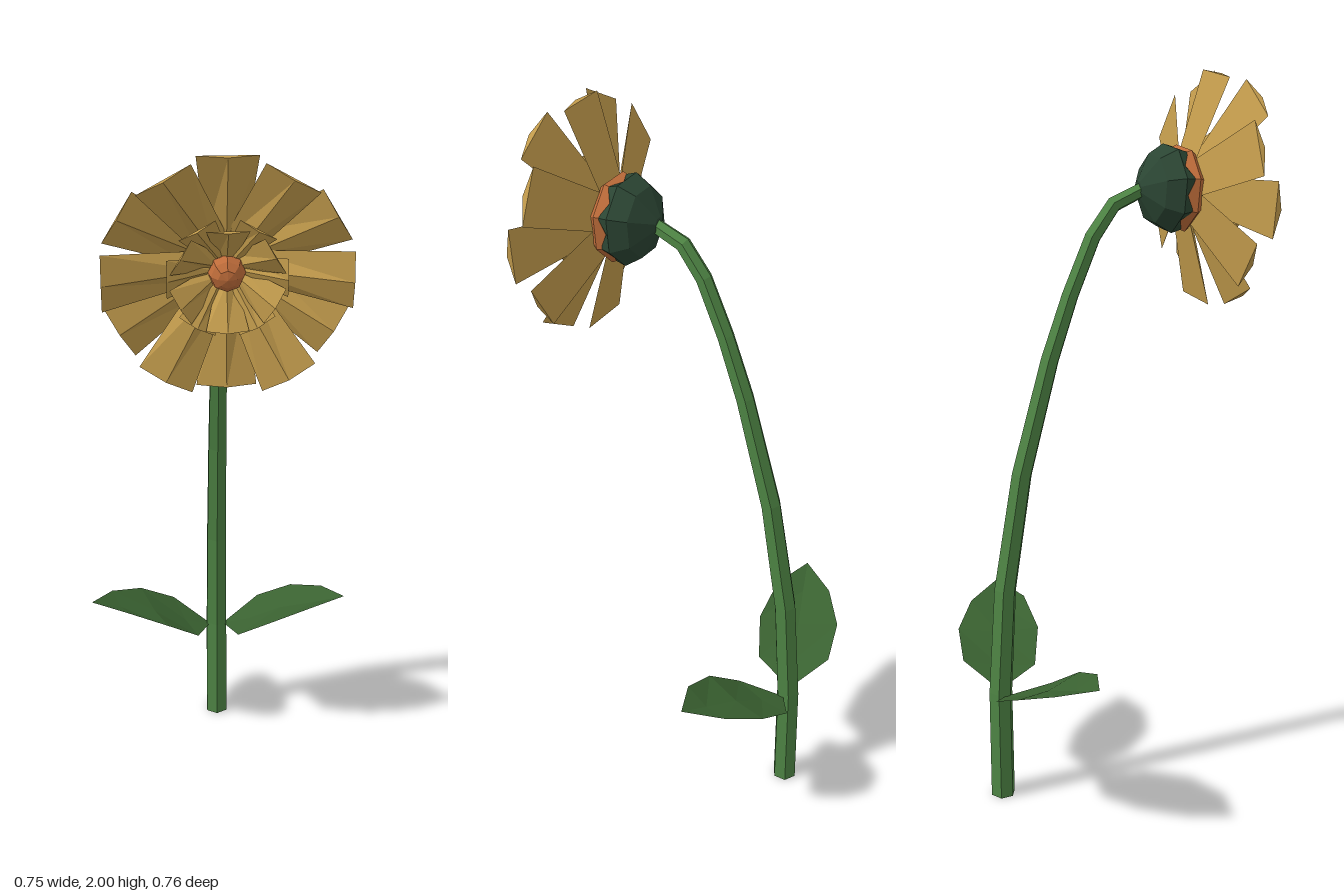
import * as THREE from 'three';

const mat = (name, color, extra = {}) =>
  Object.assign(new THREE.MeshStandardMaterial({ color, flatShading: true, ...extra }), { name });

// Skin over a list of equal-sized rings, each counter-clockwise about the travel direction
function loft(rings, capStart = true, capEnd = true) {
  const pos = [];
  const tri = (a, b, c) => pos.push(...a, ...b, ...c);
  const n = rings[0].length;
  for (let i = 0; i + 1 < rings.length; i++) {
    for (let j = 0; j < n; j++) {
      const k = (j + 1) % n, a = rings[i], b = rings[i + 1];
      tri(a[j], a[k], b[k]);
      tri(a[j], b[k], b[j]);
    }
  }
  const last = rings[rings.length - 1];
  for (let j = 1; j + 1 < n; j++) {
    if (capStart) tri(rings[0][0], rings[0][j + 1], rings[0][j]);
    if (capEnd) tri(last[0], last[j], last[j + 1]);
  }
  const geo = new THREE.BufferGeometry();
  geo.setAttribute('position', new THREE.Float32BufferAttribute(pos, 3));
  geo.computeVertexNormals();
  return geo;
}

function mesh(name, geo, material) {
  const m = new THREE.Mesh(geo, material);
  m.name = name;
  return m;
}

// Six-sided stem bending in the yz plane; path entries are [y, z, radius]
function stemGeometry() {
  const path = [
    [0, -0.315, 0.035], [0.33, -0.315, 0.034], [0.64, -0.295, 0.032], [0.97, -0.24, 0.029],
    [1.28, -0.155, 0.026], [1.45, -0.095, 0.024], [1.6, -0.03, 0.023],
    [1.68, 0.03, 0.022], [1.713, 0.115, 0.02],
  ];
  return loft(path.map(([y, z, r], i) => {
    const p = path[Math.max(i - 1, 0)], q = path[Math.min(i + 1, path.length - 1)];
    let ty = q[0] - p[0], tz = q[1] - p[1];
    if (i === 0) { ty = 1; tz = 0; }
    const len = Math.hypot(ty, tz);
    return Array.from({ length: 6 }, (_, j) => {
      const a = j * Math.PI / 3, c = r * Math.cos(a) / len;
      return [r * Math.sin(a), y - c * tz, z + c * ty];
    });
  }));
}

// Folded leaf: strips between back edge, midrib and front edge
function leafGeometry(side) {
  const base = [0.02, 0.32, -0.31], tip = [0.375, 0.487, -0.18];
  const back = [base, [0.13, 0.375, -0.378], [0.23, 0.425, -0.355], [0.317, 0.462, -0.283], tip];
  const rib = [base, [0.095, 0.352, -0.28], [0.19, 0.41, -0.248], [0.29, 0.45, -0.21], tip];
  const front = [base, [0.06, 0.355, -0.187], [0.15, 0.423, -0.14], [0.265, 0.472, -0.137], tip];
  const pos = [];
  const add = (...pts) => {
    if (side < 0) pts.reverse();
    pts.forEach(([x, y, z]) => pos.push(side * x, y, z));
  };
  for (const [l, r] of [[back, rib], [rib, front]]) {
    for (let i = 0; i < 4; i++) {
      if (i > 0) add(l[i], r[i], l[i + 1]);
      if (i < 3) add(r[i], r[i + 1], l[i + 1]);
    }
  }
  const geo = new THREE.BufferGeometry();
  geo.setAttribute('position', new THREE.Float32BufferAttribute(pos, 3));
  geo.computeVertexNormals();
  return geo;
}

// Petal with a flat back and a raised front ridge; sections are [radius, halfWidth, z, ridge]
function petalGeometry(sections) {
  return loft(sections.map(([r, w, z, h]) => [[0, r, z + h], [w, r, z], [-w, r, z]]));
}

// Eight-sided ring about z; toothDepth pulls the points between ribs back
function octagon(r, z, toothDepth = 0) {
  return Array.from({ length: 16 }, (_, j) => {
    const a = (j + 1) * Math.PI / 8, mid = j % 2 === 1;
    const rr = mid ? r * Math.cos(Math.PI / 8) : r;
    return [rr * Math.cos(a), rr * Math.sin(a), z - (mid ? toothDepth : 0)];
  });
}

export function createModel() {
  const stemGreen = mat('stem green', 0x4f8645);
  const leafGreen = mat('leaf green', 0x3a6231, { side: THREE.DoubleSide });
  const sepalGreen = mat('sepal green', 0x2b4533);
  const orange = mat('centre orange', 0xbe6c3a);
  const gold = mat('petal gold', 0xc29b4c);

  const model = new THREE.Group();
  model.name = 'flower';
  model.add(mesh('stem', stemGeometry(), stemGreen));
  model.add(mesh('leftLeaf', leafGeometry(1), leafGreen));
  model.add(mesh('rightLeaf', leafGeometry(-1), leafGreen));

  // Flower head, nodding slightly forward
  const head = new THREE.Group();
  head.name = 'flowerHead';
  head.position.y = 1.724;
  head.rotation.x = 0.08;
  model.add(head);

  head.add(mesh('sepalCup', loft([
    octagon(0.02, 0.1), octagon(0.092, 0.14), octagon(0.119, 0.185), octagon(0.11, 0.215, 0.02),
  ], true, false), sepalGreen));
  head.add(mesh('receptacle', loft([
    octagon(0.1, 0.185), octagon(0.116, 0.225), octagon(0.1, 0.243), octagon(0.06, 0.26),
  ]), orange));
  const centre = mesh('centre', new THREE.SphereGeometry(0.046, 8, 6), orange);
  centre.rotation.x = Math.PI / 2;
  centre.position.z = 0.29;
  head.add(centre);

  // Four rings of six petals, alternating by 30 degrees
  const layers = [
    ['backPetals', 0, [[0.07, 0.048, 0.232, 0.03], [0.3, 0.074, 0.3, 0.016]]],
    ['frontPetals', 30, [[0.05, 0.04, 0.25, 0.03], [0.3, 0.074, 0.342, 0.016]]],
    ['middlePetals', 30, [[0.03, 0.025, 0.26, 0.02], [0.145, 0.05, 0.325, 0.014]]],
    ['innerPetals', 0, [[0.03, 0.022, 0.265, 0.02], [0.13, 0.052, 0.343, 0.014]]],
  ];
  for (const [name, offset, sections] of layers) {
    const ring = new THREE.Group();
    ring.name = name;
    const geo = petalGeometry(sections);
    for (let i = 0; i < 6; i++) {
      const petal = mesh('petal', geo, gold);
      petal.rotation.z = THREE.MathUtils.degToRad(offset + i * 60);
      ring.add(petal);
    }
    head.add(ring);
  }
  return model;
}
